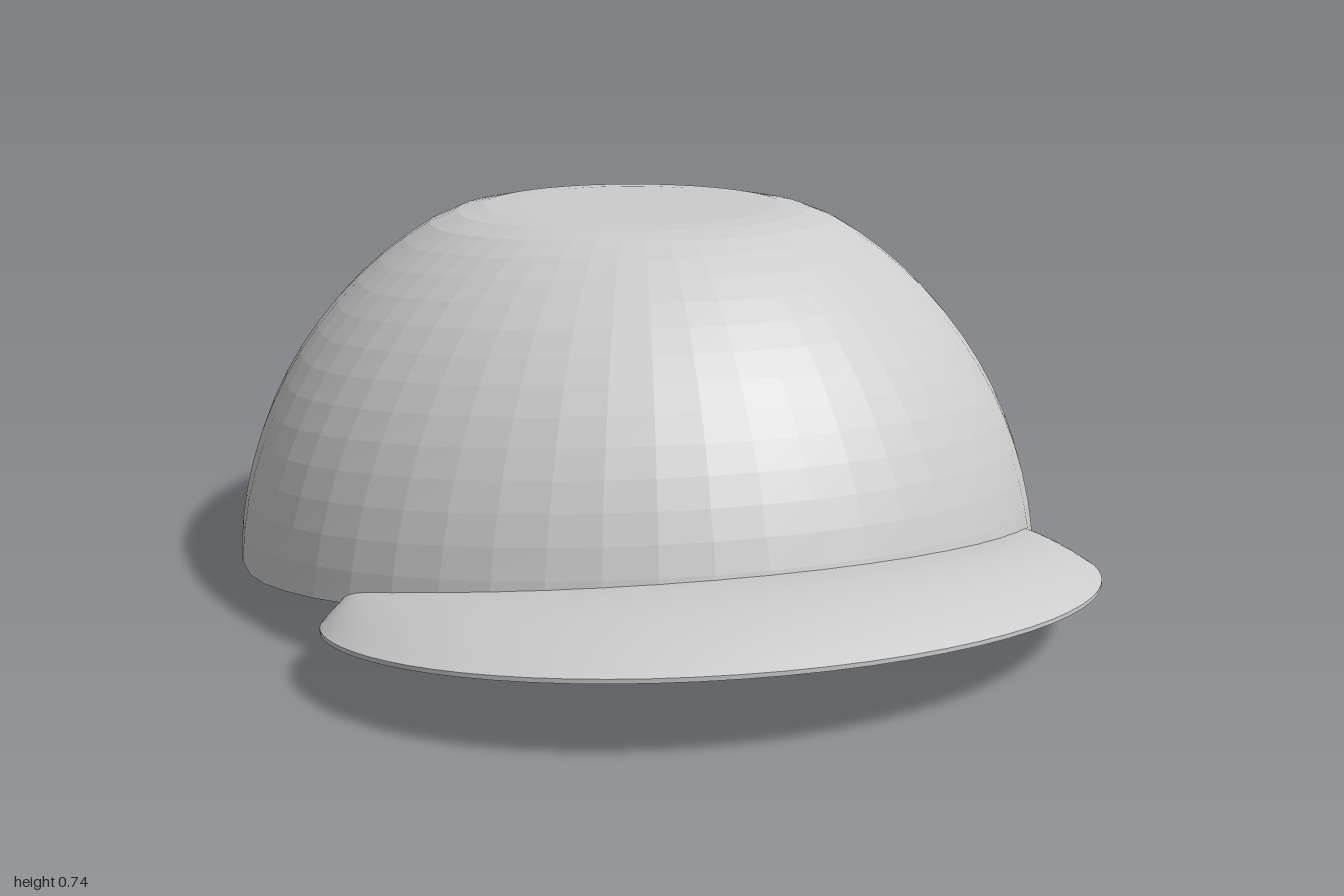
import * as THREE from 'three';
import { toCreasedNormals } from 'three/addons/utils/BufferGeometryUtils.js';

const CENTRE_Z = -0.125, STRETCH_Z = 1.05;

// Surface through a grid of points: point(i, j) with i across, j along
function gridSurface(ni, nj, point) {
  const pos = [], idx = [];
  for (let i = 0; i <= ni; i++) for (let j = 0; j <= nj; j++) pos.push(...point(i, j));
  for (let i = 0; i < ni; i++) for (let j = 0; j < nj; j++) {
    const a = i * (nj + 1) + j, b = a + nj + 1;
    idx.push(a, a + 1, b, a + 1, b + 1, b);
  }
  const g = new THREE.BufferGeometry();
  g.setAttribute('position', new THREE.Float32BufferAttribute(pos, 3));
  g.setIndex(idx);
  return g;
}

// Height of the lower rim: dips at the back, rises towards the brim
const rimHeight = z => (z < 0 ? 0.06 + 0.055 * z : 0.06 + 0.16 * z);

// Rounded minimum that flattens the top of the dome
function softMin(a, b, k) {
  const h = Math.max(k - Math.abs(a - b), 0) / k;
  return Math.min(a, b) - h * h * k * 0.25;
}

function domeGeometry() {
  const around = 52, rows = 20;
  const point = (i, j) => {
    const theta = (i / around) * Math.PI * 2;
    const inner = j > rows;
    const row = inner ? 2 * rows + 1 - j : j;
    const radius = inner ? 0.814 : 0.83, top = inner ? 0.735 : 0.75;
    // find where this meridian meets the rim
    let y = 0.06;
    for (let n = 0; n < 8; n++) {
      y = rimHeight(CENTRE_Z + STRETCH_Z * Math.sqrt(radius * radius - y * y) * Math.cos(theta));
    }
    const phi = Math.acos(y / radius) * (row / rows);
    const r = radius * Math.sin(phi);
    return [r * Math.sin(theta), softMin(radius * Math.cos(phi), top, 0.04),
      CENTRE_Z + STRETCH_Z * r * Math.cos(theta)];
  };
  const g = gridSurface(around, rows * 2 + 1, point).toNonIndexed();
  g.computeVertexNormals(); // faceted
  return g;
}

function brimGeometry() {
  const across = 56, steps = 10, loop = steps * 2 + 2;
  const point = (i, j) => {
    const t = Math.sin((i / across - 0.5) * Math.PI);
    const k = j % loop;
    const under = k > steps;
    const s = (under ? loop - 1 - k : k) / steps;
    // inner edge pokes through the dome, outer edge is a half ellipse
    const b = t * 0.985, a = t * 1.74;
    const inX = 0.797 * Math.sin(b), inZ = CENTRE_Z + 0.83 * Math.cos(b);
    const outX = 0.74 * Math.sin(a), outZ = 0.42 + 0.57 * Math.cos(a);
    const w = s * Math.sqrt(Math.max(0, 1 - Math.abs(t) ** 24));
    const x = inX + (outX - inX) * w, z = inZ + (outZ - inZ) * w;
    // arched sheet, thinner towards its rounded outer edge
    const rise = 0.09 * (1 - s * s) * (1 - 0.5 * t * t);
    const thick = 0.008 + 0.02 * Math.sqrt(1 - s ** 4);
    return [x, 0.053 + 0.113 * z + rise - (under ? thick : 0), z];
  };
  return toCreasedNormals(gridSurface(across, loop, point), 0.7);
}

export function createModel() {
  const group = new THREE.Group();
  group.name = 'cap';
  const grey = new THREE.MeshStandardMaterial({ color: 0xcccccc, side: THREE.DoubleSide });
  grey.name = 'light grey';

  const dome = new THREE.Mesh(domeGeometry(), grey);
  dome.name = 'crown';
  const brim = new THREE.Mesh(brimGeometry(), grey);
  brim.name = 'brim';
  group.add(dome, brim);
  return group;
}
